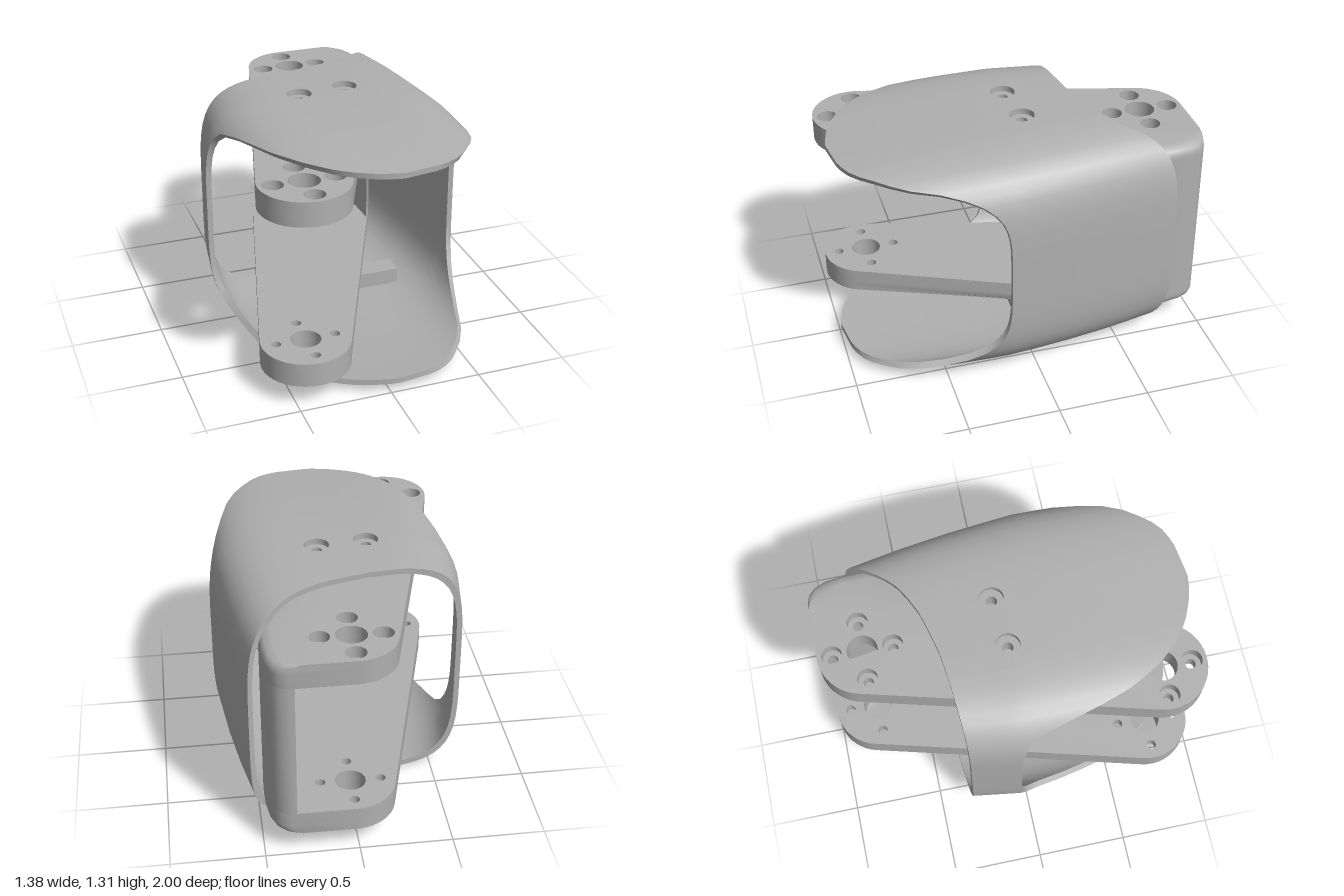
import * as THREE from 'three';
import { toCreasedNormals } from 'three/addons/utils/BufferGeometryUtils.js';

const grey = new THREE.MeshStandardMaterial({ color: 0xb0b0b0 });
grey.name = 'plain grey';

const MID = 0.657;       // height of the horizontal symmetry plane
const THICK = 0.03;      // sleeve wall
const POWER = 4.6;       // squareness of the sleeve section
const N = 96, M = 25;    // sleeve segments around / along
const SCREWS = [[-0.16, -0.02], [0.11, -0.05]];

// Piecewise linear lookup in a list of [key, value]
function lookup(table, k) {
  if (k <= table[0][0]) return table[0][1];
  for (let i = 1; i < table.length; i++) {
    const [k0, a] = table[i - 1], [k1, b] = table[i];
    if (k <= k1) return a + (b - a) * (k - k0) / (k1 - k0);
  }
  return table[table.length - 1][1];
}

// Sleeve trim lines: z over the relative width -1..1
const backEdge = [[-1, -0.32], [-0.45, -0.35], [-0.2, -0.37], [0, -0.4], [0.18, -0.43], [0.33, -0.47],
  [0.47, -0.515], [0.59, -0.57], [0.78, -0.68], [1, -0.79]];
const frontEdge = [[-1, -0.05], [-0.93, 0.02], [-0.885, 0.12], [-0.84, 0.3], [-0.725, 0.55], [-0.6, 0.72],
  [-0.435, 0.85], [-0.29, 0.92], [-0.14, 0.965], [0, 0.99], [0.07, 0.997], [0.35, 0.97], [0.47, 0.94],
  [0.58, 0.88], [0.72, 0.76], [0.797, 0.66], [0.9, 0.42], [1, 0.17]];
// Sleeve half sizes over z
const leftWidth = [[-0.79, 0.57], [-0.32, 0.65], [-0.05, 0.69]];
const rightWidth = [[-0.79, 0.55], [-0.5, 0.605], [-0.2, 0.65], [0.17, 0.69]];
const halfHeight = [[-0.8, 0.63], [-0.4, 0.65], [0, 0.657], [0.25, 0.654], [0.5, 0.645], [0.75, 0.629], [1, 0.608]];

const widthAt = (side, z) => lookup(side > 0 ? rightWidth : leftWidth, z);

// Point on the sleeve: a superellipse swept along z
function sleevePoint(i, v, inset) {
  const a = (i / N) * Math.PI * 2, c = Math.cos(a), s = Math.sin(a);
  const k = (Math.abs(c) ** POWER + Math.abs(s) ** POWER) ** (-1 / POWER), xn = c * k, yn = s * k;
  const zBack = lookup(backEdge, xn * (1 - inset / 0.6));
  const z = THREE.MathUtils.lerp(zBack, lookup(frontEdge, xn), v);
  return [xn * (widthAt(xn, z) - inset), MID + yn * (lookup(halfHeight, z) - inset), z];
}

// Closed loops joined into a surface, with optional missing cells
function loft(point, rows, skip = () => false) {
  const pos = [], idx = [];
  for (let j = 0; j <= rows; j++) for (let i = 0; i < N; i++) pos.push(...point(i, j / rows));
  for (let j = 0; j < rows; j++) for (let i = 0; i < N; i++) {
    if (skip(i, j)) continue;
    const a = j * N + i, b = j * N + (i + 1) % N;
    idx.push(a, b, b + N, a, b + N, a + N);
  }
  const g = new THREE.BufferGeometry();
  g.setAttribute('position', new THREE.Float32BufferAttribute(pos, 3));
  g.setIndex(idx);
  g.computeVertexNormals();
  return g;
}

// Holes run against the clockwise outlines, so their walls face inwards
const circle = (x, z, r) => new THREE.Path().absarc(x, -z, r, 0, Math.PI * 2, false);

// Plan shape from clockwise [x, z] points with [x, z, r] holes
function plan(points, holes = []) {
  const s = new THREE.Shape(points.map(([x, z]) => new THREE.Vector2(x, -z)));
  s.holes = holes.map(h => circle(...h));
  return s;
}

// Plan shape raised from y0 to y1; optional rule moves the vertices
function plate(shape, y0, y1, steps = 1, rule = null) {
  const g = new THREE.ExtrudeGeometry(shape, { depth: y1 - y0, steps, bevelEnabled: false, curveSegments: 16 });
  g.rotateX(-Math.PI / 2).translate(0, y0, 0);
  const p = g.attributes.position;
  if (rule) for (let i = 0; i < p.count; i++) p.setX(i, rule(p.getX(i), p.getY(i)));
  return toCreasedNormals(g, 0.6);
}

function add(group, name, geometry) {
  const m = new THREE.Mesh(geometry, grey);
  m.name = name;
  group.add(m);
  return m;
}

function buildSleeve() {
  const g = new THREE.Group();
  g.name = 'outerSleeve';
  const I0 = 19, I1 = 30, J0 = 4, J1 = 9; // cells left out for the screw patch
  add(g, 'sleeveOutside', loft((i, v) => sleevePoint(i, v, 0), M,
    (i, j) => i >= I0 && i < I1 && j >= J0 && j < J1));
  add(g, 'sleeveInside', loft((i, v) => sleevePoint(i, 1 - v, THICK), M));
  add(g, 'sleeveFrontRim', loft((i, v) => sleevePoint(i, 1, v * THICK), 1));
  add(g, 'sleeveBackRim', loft((i, v) => sleevePoint(i, 0, (1 - v) * THICK), 1));

  // Patch around the two screw holes
  const ring = [];
  for (let i = I0; i < I1; i++) ring.push([i, J0]);
  for (let j = J0; j < J1; j++) ring.push([I1, j]);
  for (let i = I1; i > I0; i--) ring.push([i, J1]);
  for (let j = J1; j > J0; j--) ring.push([I0, j]);
  const outline = ring.map(([i, j]) => { const p = sleevePoint(i, j / M, 0); return [p[0], p[2]]; });
  const patch = new THREE.ShapeGeometry(plan(outline, SCREWS.map(([x, z]) => [x, z, 0.068])), 16);
  patch.rotateX(-Math.PI / 2);
  const p = patch.attributes.position;
  for (let i = 0; i < p.count; i++) {
    const x = p.getX(i), z = p.getZ(i);
    p.setY(i, MID + lookup(halfHeight, z) * (1 - Math.abs(x / widthAt(x, z)) ** POWER) ** (1 / POWER));
  }
  patch.computeVertexNormals();
  add(g, 'screwPatch', patch);

  // Recessed screw seats
  const seat = [[0.068, 1.314], [0.068, 1.28], [0.03, 1.28], [0.03, 1.19]].map(q => new THREE.Vector2(...q));
  for (const [x, z] of SCREWS) {
    const lathe = toCreasedNormals(new THREE.LatheGeometry(seat, 32).toNonIndexed(), 0.6);
    add(g, 'screwSeat', lathe).position.set(x, 0, z);
  }

  // Spacers between sleeve and arms
  for (const [x0, x1, [sx, sz]] of [[-0.228, -0.1, SCREWS[0]], [0.027, 0.427, SCREWS[1]]]) {
    const box = [[x0, sz - 0.064], [x1, sz - 0.064], [x1, sz + 0.064], [x0, sz + 0.064]];
    add(g, 'upperSpacer', plate(plan(box, [[sx, sz, 0.03]]), 1.18, 1.27));
    add(g, 'lowerSpacer', plate(plan(box), 0.045, 0.135));
  }
  return g;
}

function buildBracket() {
  const g = new THREE.Group();
  g.name = 'innerBracket';
  const back = [0.02, -0.76], front = [-0.39, 0.755], R = 0.241;
  const arc = ([x, z], a0, a1, n) => Array.from({ length: n + 1 }, (_, k) => {
    const a = THREE.MathUtils.degToRad(a0 + (a1 - a0) * k / n);
    return [x + R * Math.cos(a), z + R * Math.sin(a)];
  });
  const corner = [[0.36, -1], [0.405, -0.985], [0.44, -0.95], [0.465, -0.89], [0.478, -0.8],
    [0.48, -0.7], [0.477, -0.63], [0.465, -0.57]];
  const outline = [...arc(back, -165, -90, 10), ...corner, ...arc(front, 24, 195, 24)];

  // Centre hole and four screw holes at each end
  const holes = r => [back, front].flatMap(([x, z]) => [[x, z, 0.082],
    ...[[1, 0], [-1, 0], [0, 1], [0, -1]].map(([a, b]) => [x + a * 0.162, z + b * 0.162, r])]);
  const innerShape = plan(outline, holes(0.027)), outerShape = plan(outline, holes(0.055));

  // Rounds the wall-side edge towards the outer face at height yOut
  const round = yOut => (x, y) => {
    const d = Math.max(0, 0.06 - Math.abs(yOut - y));
    return x > 0.35 ? x - 0.06 + Math.sqrt(Math.max(0, 0.0036 - d * d)) : x;
  };
  add(g, 'upperArmInside', plate(innerShape, 1.05, 1.12));
  add(g, 'upperArmOutside', plate(outerShape, 1.12, 1.185, 6, round(1.185)));
  add(g, 'lowerArmInside', plate(innerShape, 0.198, 0.267));
  add(g, 'lowerArmOutside', plate(outerShape, 0.133, 0.198, 6, round(0.133)));

  // Upright wall joining the arms
  const wall = [[0.33, -1], ...corner, [0.397, -0.43], [0.39, -0.6], [0.35, -0.75], [0.33, -0.9]];
  add(g, 'bracketWall', plate(plan(wall), 0.26, 1.06));
  return g;
}

export function createModel() {
  const model = new THREE.Group();
  model.name = 'jointLink';
  model.add(buildSleeve(), buildBracket());
  return model;
}
